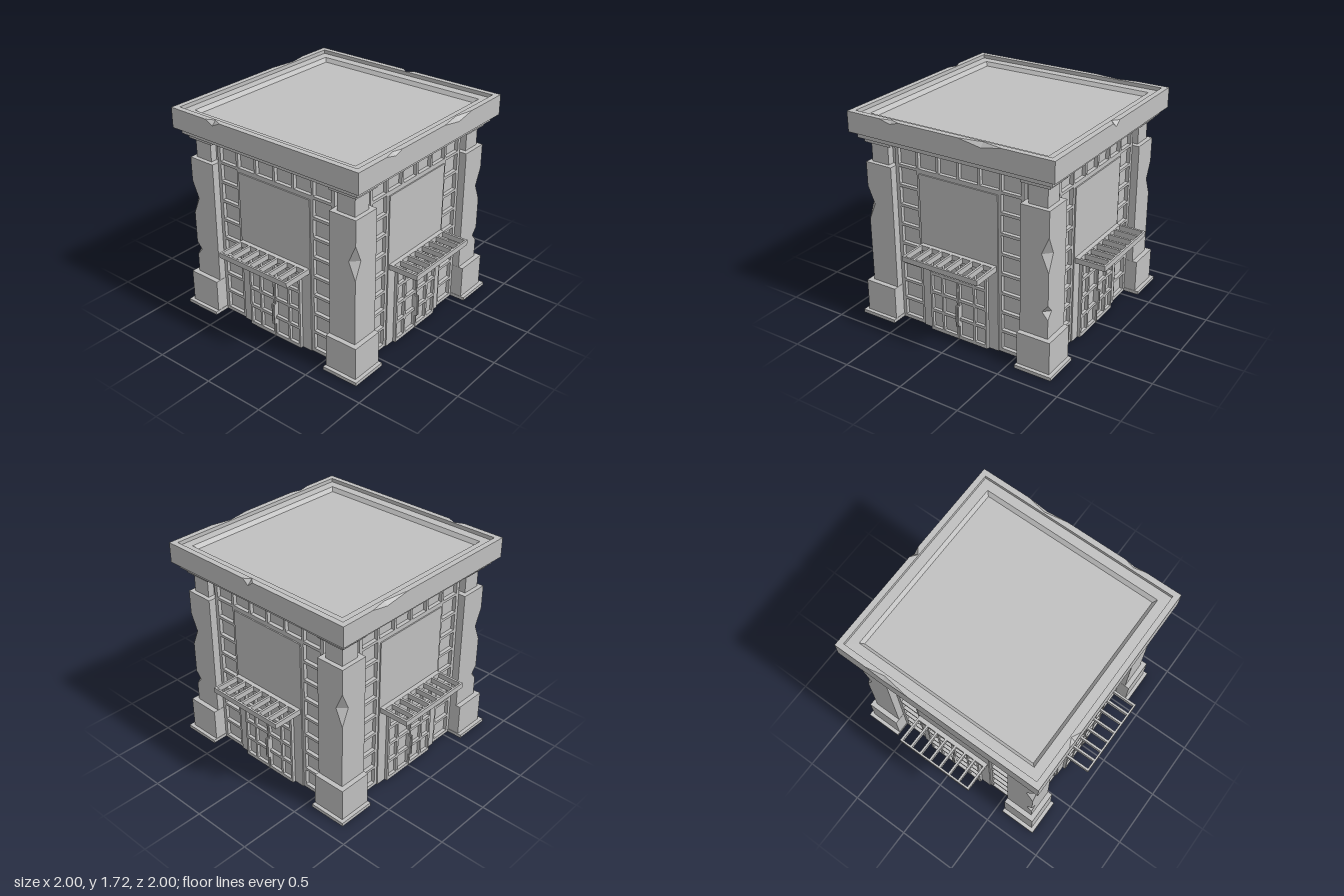
import * as THREE from 'three';

const stone = new THREE.MeshStandardMaterial({ color: 0xc0c0c0 });
stone.name = 'grey stone';

function mesh(name, geometry, parent) {
  const m = new THREE.Mesh(geometry, stone);
  m.name = name;
  parent.add(m);
  return m;
}

// Box given by its minimum and maximum corners
function box(name, parent, [x0, y0, z0], [x1, y1, z1]) {
  const g = new THREE.BoxGeometry(x1 - x0, y1 - y0, z1 - z0);
  g.translate((x0 + x1) / 2, (y0 + y1) / 2, (z0 + z1) / 2);
  return mesh(name, g, parent);
}

// Faceted skin over a closed ring of profiles, rows[station][profilePoint]
function loft(rows) {
  const pos = [];
  const tri = (a, b, c) => {
    const n = b.clone().sub(a).cross(c.clone().sub(a));
    if (n.length() > 1e-9) for (const p of [a, b, c]) pos.push(p.x, p.y, p.z);
  };
  rows.forEach((row, i) => {
    const next = rows[(i + 1) % rows.length];
    for (let j = 0; j < row.length - 1; j++) {
      tri(row[j], next[j], next[j + 1]);
      tri(row[j], next[j + 1], row[j + 1]);
    }
  });
  const g = new THREE.BufferGeometry();
  g.setAttribute('position', new THREE.Float32BufferAttribute(pos, 3));
  g.computeVertexNormals();
  return g;
}

// Rectangular plate pierced by rectangular openings [x, y, width, height]
function lattice(halfWidth, height, depth, z, openings) {
  const s = new THREE.Shape();
  s.moveTo(-halfWidth, 0).lineTo(halfWidth, 0).lineTo(halfWidth, height).lineTo(-halfWidth, height).closePath();
  for (const [x, y, w, h] of openings) {
    const p = new THREE.Path();
    p.moveTo(x, y).lineTo(x, y + h).lineTo(x + w, y + h).lineTo(x + w, y).closePath();
    s.holes.push(p);
  }
  const g = new THREE.ExtrudeGeometry(s, { depth, bevelEnabled: false });
  g.translate(0, 0, z);
  return g;
}

function createFacade() {
  const f = new THREE.Group();
  f.name = 'facade';

  // Ladder of recessed squares at both sides and across the top
  const squares = [];
  for (let r = 0; r < 8; r++) {
    for (const x of [-0.535, 0.37]) squares.push([x, 0.03 + r * 0.1625, 0.165, 0.14]);
  }
  for (let c = 0; c < 6; c++) squares.push([-0.535 + c * 0.182, 1.33, 0.16, 0.155]);
  mesh('wallLattice', lattice(0.565, 1.51, 0.03, 0.71, squares), f);
  box('centrePanel', f, [-0.345, 0, 0.7], [0.345, 1.295, 0.75]);

  // Double door with square panes
  const panes = [];
  for (let r = 0; r < 4; r++) {
    for (const [x, w] of [[-0.242, 0.088], [-0.136, 0.122], [0.014, 0.122], [0.154, 0.088]]) {
      panes.push([x, 0.03 + r * 0.1625, w, 0.138]);
    }
  }
  mesh('doorLattice', lattice(0.26, 0.685, 0.03, 0.745, panes), f);
  for (const s of [-1, 1]) {
    const x = s * 0.009;
    box('doorHandle', f, [x - 0.005, 0.12, 0.77], [x + 0.005, 0.3, 0.795]);
  }
  box('doorSeam', f, [-0.003, 0, 0.77], [0.003, 0.5, 0.78]);

  // Slatted canopy
  const canopy = new THREE.Group();
  canopy.name = 'canopy';
  f.add(canopy);
  box('frontRail', canopy, [-0.335, 0.685, 0.985], [0.335, 0.728, 1]);
  box('backRail', canopy, [-0.335, 0.685, 0.74], [0.335, 0.728, 0.785]);
  for (let i = 0; i < 8; i++) {
    const x = -0.326 + i * 0.0931;
    box('slat', canopy, [x - 0.009, 0.685, 0.76], [x + 0.009, 0.728, 0.99]);
  }
  return f;
}

// Corner pillar; chips are [y, halfHeight, depth] bites from its outer edge
function createPillar(chips) {
  const p = new THREE.Group();
  p.name = 'cornerPillar';
  box('plinth', p, [0.56, 0, 0.56], [0.87, 0.028, 0.87]);
  box('pedestal', p, [0.563, 0.02, 0.563], [0.84, 0.295, 0.84]);
  box('neck', p, [0.61, 1.3, 0.61], [0.765, 1.48, 0.765]);
  box('capital', p, [0.565, 1.47, 0.565], [0.8, 1.515, 0.8]);

  const levels = [[0.28, 0]];
  for (const [y, h, c] of chips) levels.push([y - h, 0], [y, c], [y + h, 0]);
  levels.push([1.31, 0]);
  const corners = [[0.565, 0.8, 0, 0], [0.8, 0.8, -1, 0], [0.8, 0.8, 0, -1], [0.8, 0.565, 0, 0], [0.565, 0.565, 0, 0]];
  const rows = corners.map(([x, z, cx, cz]) => {
    const row = levels.map(([y, c]) => new THREE.Vector3(x + cx * c, y, z + cz * c));
    row.push(new THREE.Vector3(0.68, 1.31, 0.68));
    return row;
  });
  mesh('shaft', loft(rows), p);
  return p;
}

// Parapet ring with chipped top edge; stations along each side are [position, chip]
function createParapet() {
  const sides = [
    [[-0.58, 0], [-0.48, 0.024], [-0.4, 0], [0.11, 0], [0.3, 0.033], [0.47, 0]],
    [[-0.07, 0], [-0.02, 0.04], [0.03, 0]],
    [[-0.6, 0], [-0.45, 0.028], [-0.23, 0]],
    [[-0.52, 0], [-0.45, 0.035], [-0.38, 0]],
  ];
  const up = new THREE.Vector3(0, 1, 0);
  const rows = [];
  sides.forEach((stations, k) => {
    for (const [t, c] of [[null, 0], ...stations]) {
      const profile = [[0.7, 1.557], [0.88, 1.557], [0.88, 1.72 - c], [0.88 - c, 1.72],
        [0.835, 1.72], [0.835, 1.69], [0.76, 1.69], [0.735, 1.66]];
      rows.push(profile.map(([d, y]) =>
        new THREE.Vector3(t === null ? -d : t, y, d).applyAxisAngle(up, k * Math.PI / 2)));
    }
  });
  return loft(rows);
}

export function createModel() {
  const model = new THREE.Group();
  model.name = 'building';

  box('core', model, [-0.71, 0, -0.71], [0.71, 1.54, 0.71]);
  box('lowerCornice', model, [-0.835, 1.508, -0.835], [0.835, 1.557, 0.835]);
  box('roofDeck', model, [-0.74, 1.54, -0.74], [0.74, 1.66, 0.74]);
  mesh('parapet', createParapet(), model);

  for (let k = 0; k < 4; k++) {
    const facade = createFacade();
    const chips = [[0.97, 0.14, 0.06]];
    if (k % 2 === 0) chips.unshift([0.51, 0.06, 0.05]);
    const pillar = createPillar(chips);
    facade.rotation.y = pillar.rotation.y = k * Math.PI / 2;
    model.add(facade, pillar);
  }
  return model;
}
